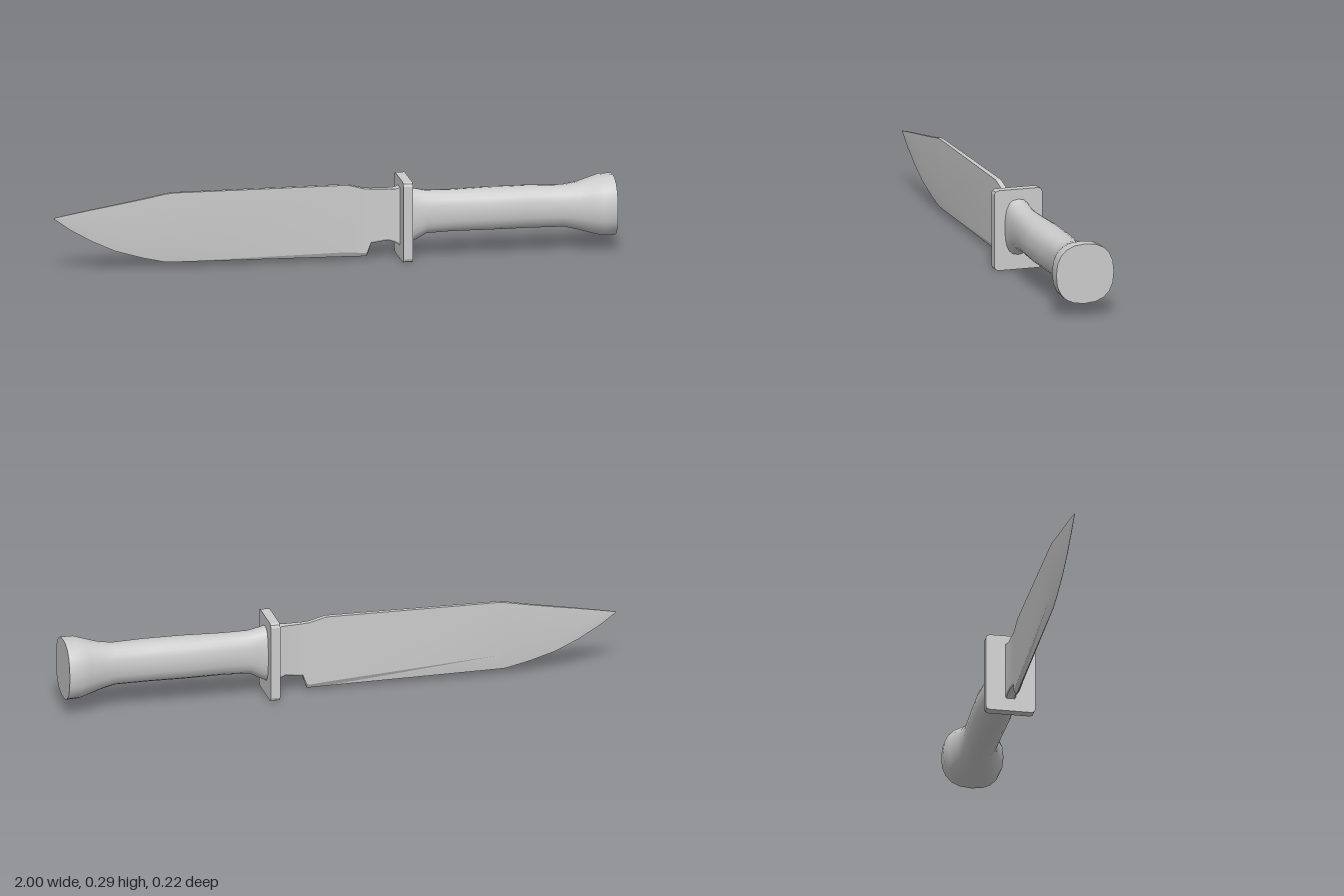
import * as THREE from 'three';
import { toCreasedNormals } from 'three/addons/utils/BufferGeometryUtils.js';

// Skin a row of closed cross-sections running along +x and cap both ends.
function loft(sections, crease) {
  const n = sections[0].length, pos = [], index = [];
  sections.forEach(s => s.forEach(p => pos.push(...p)));
  for (let i = 0; i < sections.length - 1; i++) {
    for (let j = 0; j < n; j++) {
      const a = i * n + j, b = i * n + (j + 1) % n;
      index.push(a, b, a + n, b, b + n, a + n);
    }
  }
  const last = (sections.length - 1) * n;
  for (let j = 1; j < n - 1; j++) {
    index.push(0, j + 1, j);
    index.push(last, last + j, last + j + 1);
  }
  const g = new THREE.BufferGeometry();
  g.setAttribute('position', new THREE.Float32BufferAttribute(pos, 3));
  g.setIndex(index);
  return toCreasedNormals(g, crease);
}

// Rounded-square ring in the yz plane.
function ring([x, bottom, top, halfZ, power]) {
  const pts = [], n = 20, cy = (top + bottom) / 2, ry = (top - bottom) / 2;
  const bulge = v => Math.sign(v) * Math.pow(Math.abs(v), 2 / power);
  for (let j = 0; j < n; j++) {
    const a = j / n * Math.PI * 2;
    pts.push([x, cy + ry * bulge(Math.cos(a)), halfZ * bulge(Math.sin(a))]);
  }
  return pts;
}

// Blade section: flat spine, flat cheeks, bevel down to the edge.
function bladeSection([x, edge, bevel, spine, t, edgeT]) {
  return [
    [x, spine, -t], [x, spine, t], [x, bevel, t],
    [x, edge, edgeT], [x, edge, -edgeT], [x, bevel, -t],
  ];
}

export function createModel() {
  const model = new THREE.Group();
  const steel = new THREE.MeshStandardMaterial({ color: 0xcccccc });
  steel.name = 'light grey';
  const add = (name, geometry) => {
    const mesh = new THREE.Mesh(geometry, steel);
    mesh.name = name;
    model.add(mesh);
    return mesh;
  };

  // Clip-point blade with a notched neck: x, edge, bevel, spine, half thickness, edge half thickness
  add('blade', loft([
    [-1, 0.197, 0.198, 0.2, 0.001, 0.0005],
    [-0.94, 0.153, 0.178, 0.211, 0.003, 0.0005],
    [-0.86, 0.107, 0.148, 0.225, 0.004, 0.0005],
    [-0.78, 0.07, 0.12, 0.238, 0.005, 0.0005],
    [-0.68, 0.04, 0.093, 0.255, 0.006, 0.0005],
    [-0.6, 0.022, 0.077, 0.27, 0.007, 0.0005],
    [-0.57, 0.021, 0.074, 0.273, 0.007, 0.0005],
    [0.05, 0.012, 0.03, 0.273, 0.01, 0.001],
    [0.11, 0.011, 0.024, 0.257, 0.01, 0.002],
    [0.12, 0.013, 0.026, 0.256, 0.01, 0.003],
    [0.135, 0.058, 0.064, 0.255, 0.01, 0.006],
    [0.195, 0.067, 0.073, 0.253, 0.013, 0.01],
    [0.22, 0.059, 0.065, 0.253, 0.018, 0.014],
    [0.245, 0.042, 0.05, 0.263, 0.02, 0.016],
  ].map(bladeSection), 0.15));

  // Cross guard plate with clipped corners
  const w = 0.089, h = 0.145, c = 0.014;
  const outline = new THREE.Shape([
    [-w + c, -h], [w - c, -h], [w - c * 0.3, -h + c * 0.3], [w, -h + c],
    [w, h - c], [w - c * 0.3, h - c * 0.3], [w - c, h],
    [-w + c, h], [-w + c * 0.3, h - c * 0.3], [-w, h - c],
    [-w, -h + c], [-w + c * 0.3, -h + c * 0.3],
  ].map(p => new THREE.Vector2(...p)));
  const plate = new THREE.ExtrudeGeometry(outline, { depth: 0.034, bevelEnabled: false });
  plate.rotateY(Math.PI / 2);
  plate.translate(0.235, 0.146, 0);
  add('guard', plate);

  // Grip swelling at the middle, flaring into the pommel: x, bottom, top, half width, squareness
  add('handle', loft([
    [0.265, 0.052, 0.256, 0.05, 2.6],
    [0.285, 0.062, 0.25, 0.05, 2.6],
    [0.33, 0.086, 0.24, 0.051, 2.5],
    [0.42, 0.09, 0.238, 0.055, 2.5],
    [0.56, 0.09, 0.24, 0.066, 2.5],
    [0.7, 0.09, 0.24, 0.063, 2.5],
    [0.82, 0.088, 0.236, 0.06, 2.5],
    [0.87, 0.076, 0.243, 0.073, 2.4],
    [0.92, 0.062, 0.257, 0.093, 2.4],
    [0.955, 0.053, 0.267, 0.108, 2.4],
    [1, 0.051, 0.267, 0.107, 2.4],
  ].map(ring), 0.6));

  return model;
}
